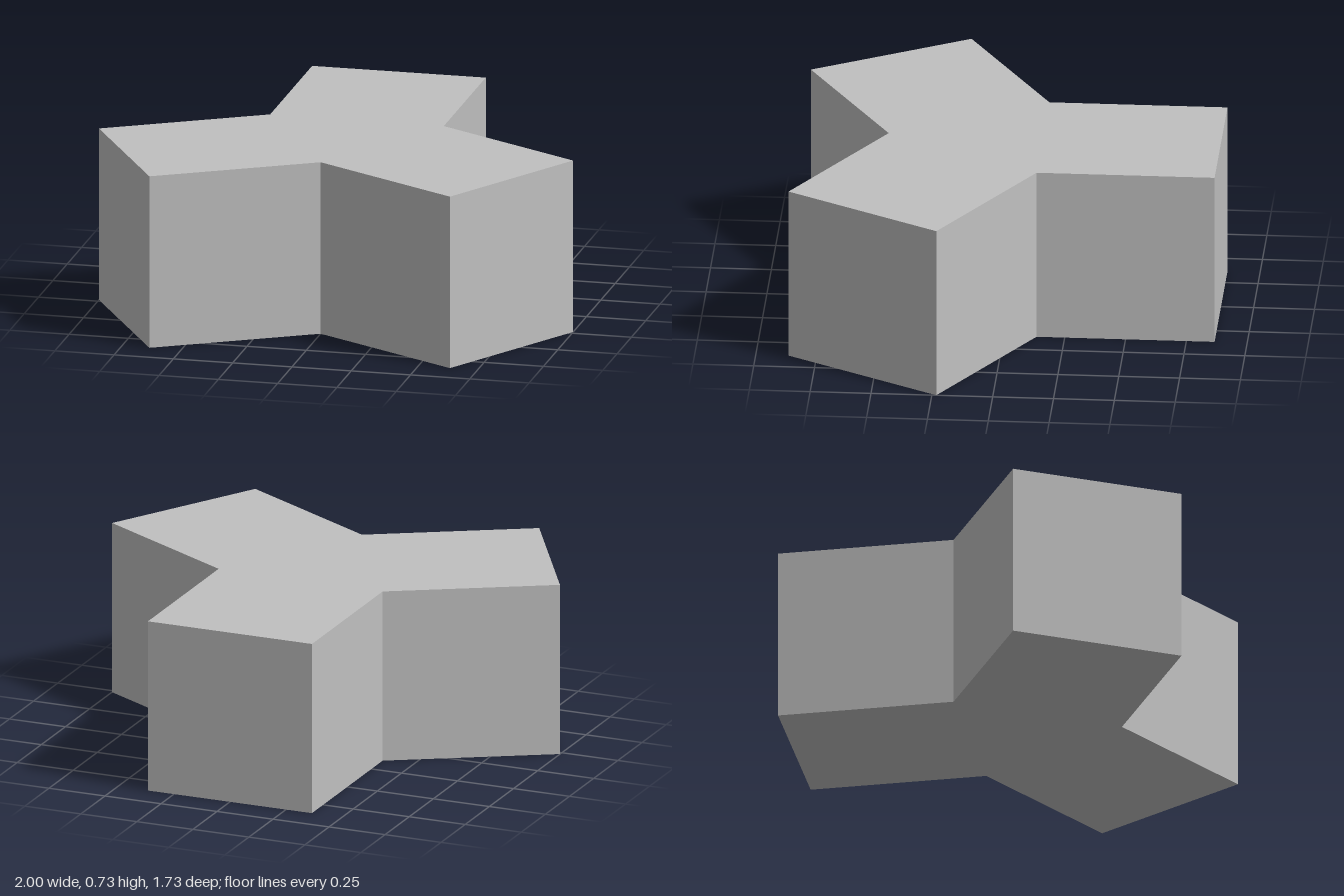
import * as THREE from 'three';

const HALF_WIDTH = 0.366; // half of an arm's width
const REACH = 0.943;      // hub centre to the end of an arm
const HEIGHT = 0.732;
const HUB_Z = 0.077;      // hub centre, so the bounds are centred on z

export function createModel() {
  const group = new THREE.Group();
  group.name = 'threeArmBlock';
  const grey = new THREE.MeshStandardMaterial({ color: 0xc0c0c0 });
  grey.name = 'lightGrey';

  // Outline: each arm adds its two end corners and the notch after it
  const points = [];
  const notch = HALF_WIDTH / Math.sin(Math.PI / 3);
  for (let i = 0; i < 3; i++) {
    const angle = Math.PI / 2 + (i * Math.PI * 2) / 3;
    const along = new THREE.Vector2(Math.cos(angle), Math.sin(angle));
    const across = new THREE.Vector2(-along.y, along.x);
    for (const side of [-HALF_WIDTH, HALF_WIDTH]) {
      points.push(along.clone().multiplyScalar(REACH).addScaledVector(across, side));
    }
    const between = angle + Math.PI / 3;
    points.push(new THREE.Vector2(Math.cos(between), Math.sin(between)).multiplyScalar(notch));
  }

  // Three-armed block standing on the ground
  const geometry = new THREE.ExtrudeGeometry(new THREE.Shape(points), {
    depth: HEIGHT,
    bevelEnabled: false,
  });
  geometry.rotateX(-Math.PI / 2).translate(0, 0, HUB_Z);
  const block = new THREE.Mesh(geometry, grey);
  block.name = 'threeArmBody';
  group.add(block);

  return group;
}
